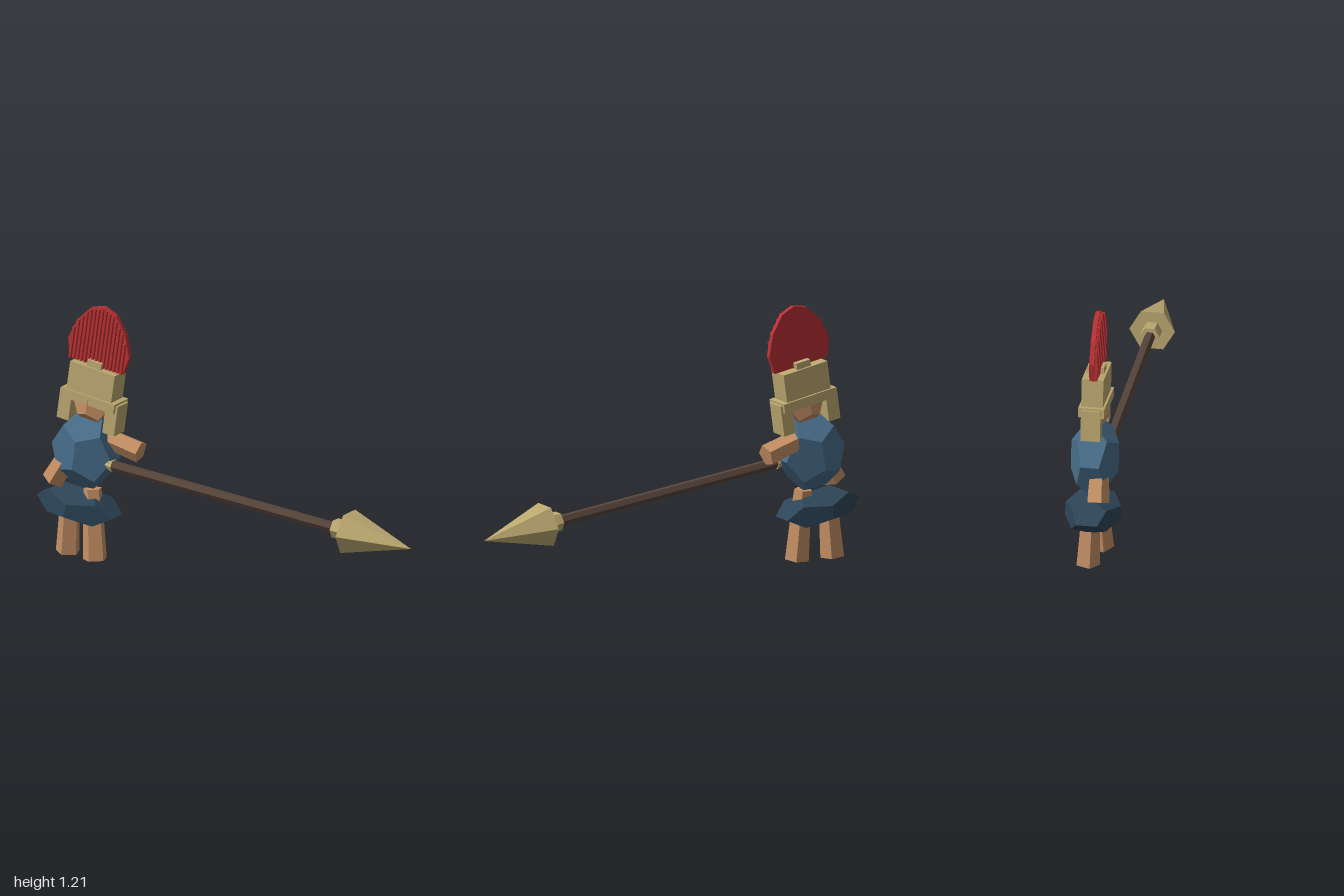
import * as THREE from 'three';

const material = (name, color) => {
  const m = new THREE.MeshStandardMaterial({ color, flatShading: true });
  m.name = name;
  return m;
};

export function createModel() {
  const brass = material('brass', 0xbca870);
  const skin = material('skin', 0xc48f65);
  const blue = material('tunic blue', 0x476c89);
  const navy = material('skirt navy', 0x2c4558);
  const wood = material('dark wood', 0x56443a);
  const red = material('crest red', 0xb93033);

  const model = new THREE.Group();
  model.name = 'spearWarrior';
  const TILT = -0.145;

  const add = (parent, name, geometry, mat, x = 0, y = 0, z = 0) => {
    const mesh = new THREE.Mesh(geometry, mat);
    mesh.name = name;
    mesh.position.set(x, y, z);
    parent.add(mesh);
    return mesh;
  };

  // Faceted body lump; half sizes run to the outermost corners
  const lump = (name, mat, [x, y, z], [hx, hy, hz]) => {
    const mesh = add(model, name, new THREE.DodecahedronGeometry(1), mat, x, y, z);
    mesh.scale.set(hx, hy, hz).divideScalar(0.934);
    mesh.rotation.z = TILT;
  };

  // Tapered prism running between two points
  const rod = (name, mat, from, to, r0, r1, sides) => {
    const a = new THREE.Vector3(...from), b = new THREE.Vector3(...to);
    const dir = b.clone().sub(a);
    const mid = a.clone().add(b).multiplyScalar(0.5);
    const mesh = add(model, name, new THREE.CylinderGeometry(r1, r0, dir.length(), sides), mat, mid.x, mid.y, mid.z);
    mesh.quaternion.setFromUnitVectors(new THREE.Vector3(0, 1, 0), dir.normalize());
  };

  // Body
  lump('skirt', navy, [-0.8, 0.245, -0.008], [0.2, 0.081, 0.128]);
  lump('torso', blue, [-0.762, 0.51, -0.005], [0.16, 0.177, 0.11]);
  lump('head', skin, [-0.725, 0.735, -0.005], [0.09, 0.09, 0.06]);

  // Limbs
  rod('leftLeg', skin, [-0.702, 0.005, 0.016], [-0.725, 0.335, 0.0], 0.057, 0.043, 5);
  rod('rightLeg', skin, [-0.87, 0.005, -0.022], [-0.85, 0.31, -0.01], 0.057, 0.043, 5);
  rod('leftArm', skin, [-0.72, 0.592, -0.03], [-0.495, 0.535, -0.042], 0.048, 0.052, 5);
  rod('rightArm', skin, [-0.805, 0.54, 0.02], [-0.915, 0.352, 0.03], 0.045, 0.055, 5);

  // Spear: every part lies on one sloping axis
  const onAxis = x => [x, 0.477 - 0.0842 * (x + 0.66), 0.031];
  rod('spearShaft', wood, onAxis(-0.61), onAxis(0.62), 0.025, 0.025, 6);
  rod('spearButt', brass, onAxis(-0.66), onAxis(-0.595), 0.008, 0.03, 6);
  rod('spearCollar', brass, onAxis(0.585), onAxis(0.66), 0.046, 0.046, 6);
  rod('spearHead', brass, onAxis(0.654), onAxis(0.993), 0.105, 0, 6);

  // Helmet
  const helmet = new THREE.Group();
  helmet.name = 'helmet';
  helmet.position.set(-0.71, 0.853, -0.007);
  helmet.rotation.z = TILT;
  model.add(helmet);
  const box = (name, w, h, d, x, y) => add(helmet, name, new THREE.BoxGeometry(w, h, d), brass, x, y);
  box('helmetCrown', 0.24, 0.135, 0.1, 0, 0);
  box('helmetBrim', 0.288, 0.045, 0.12, 0, -0.087);
  box('crestMount', 0.075, 0.035, 0.078, 0, 0.08);
  for (const s of [-1, 1]) {
    box('cheekGuard', 0.063, 0.145, 0.09, s * 0.123, -0.147);
  }

  // Crest: a solid fan with raised ribs on its front
  const crest = new THREE.Group();
  crest.name = 'crest';
  crest.position.set(-0.685, 1.056, 0);
  crest.rotation.z = TILT;
  model.add(crest);
  const half = [[0.143, -0.132], [0.164, -0.046], [0.13, 0.053], [0.067, 0.131], [0, 0.153]];
  const outline = [...half, ...half.slice(0, 4).reverse().map(([x, y]) => [-x, y])];
  const fan = new THREE.Shape(outline.map(p => new THREE.Vector2(...p)));
  add(crest, 'crestFan', new THREE.ExtrudeGeometry(fan, { depth: 0.022, bevelEnabled: false }), red, 0, 0, -0.018);

  const topAt = x => {
    const i = half.findIndex((p, k) => k > 1 && p[0] <= x);
    const [x0, y0] = half[i - 1], [x1, y1] = half[i];
    return y0 + (y1 - y0) * (x - x0) / (x1 - x0);
  };
  for (let i = -7; i <= 7; i++) {
    const x = i * 0.0195;
    const top = topAt(Math.abs(x) + 0.004) - 0.006;
    const h = top + 0.132;
    add(crest, 'crestRib', new THREE.BoxGeometry(0.011, h, 0.014), red, x, top - h / 2, 0.01);
  }

  return model;
}
